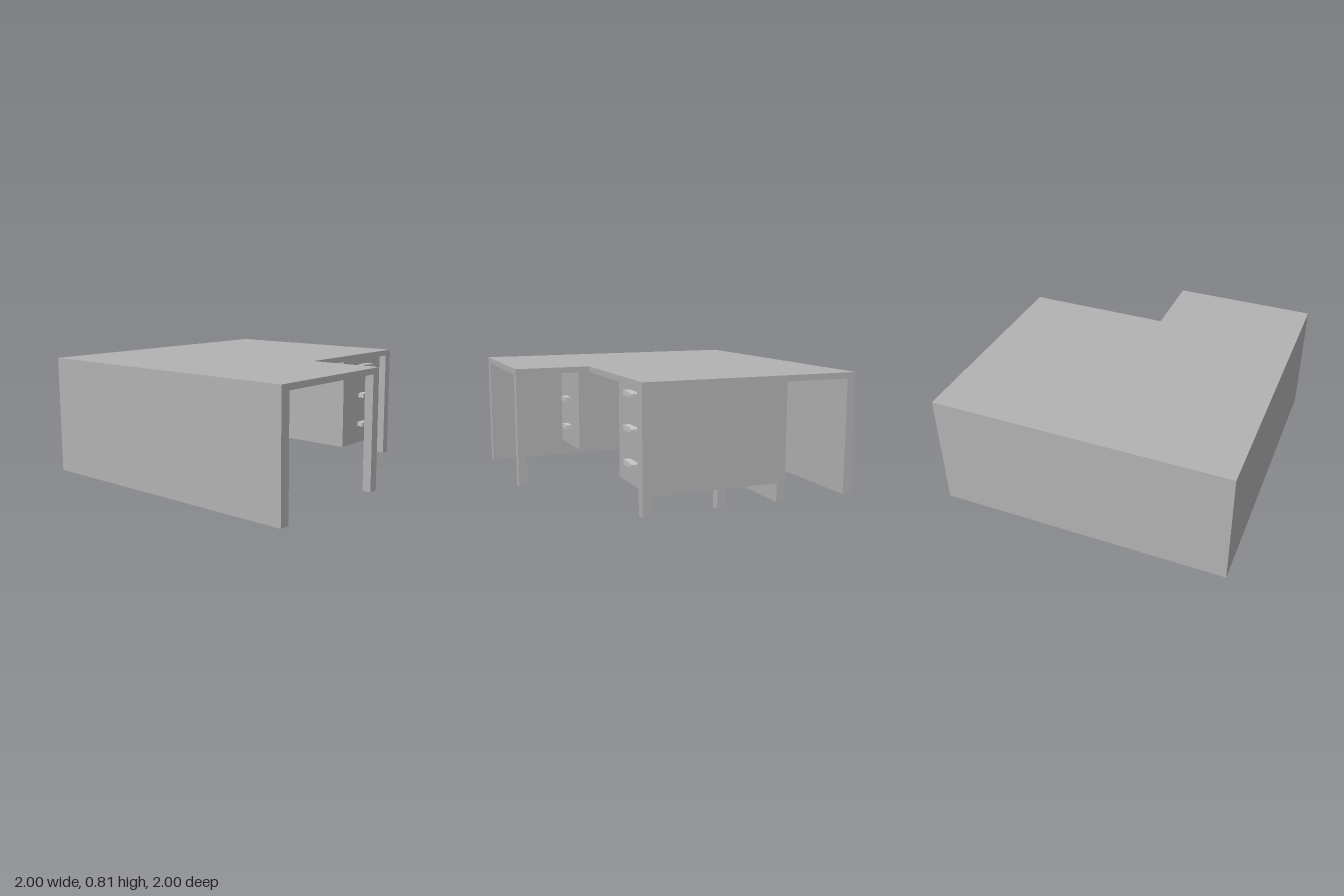
import * as THREE from 'three';

const grey = new THREE.MeshStandardMaterial({ color: 0xb2b2b2 });
grey.name = 'deskGrey';
const paleGrey = new THREE.MeshStandardMaterial({ color: 0xc6c6c6 });
paleGrey.name = 'handlePaleGrey';

const TOP = 0.81, UNDER = 0.77; // table top and its underside
const DRAWER_FRONT = 0.43, DRAWER_BASE = 0.125;

// Box given by its extents on each axis
function block(name, [x0, x1], [y0, y1], [z0, z1]) {
  const mesh = new THREE.Mesh(new THREE.BoxGeometry(x1 - x0, y1 - y0, z1 - z0), grey);
  mesh.position.set((x0 + x1) / 2, (y0 + y1) / 2, (z0 + z1) / 2);
  mesh.name = name;
  return mesh;
}

// Bar handle with its upper outer corner cut; side is +1 or -1
function handle(side, y) {
  const pts = [[-0.065, -0.016], [0.065, -0.016], [0.065, 0.004], [0.053, 0.016], [-0.065, 0.016]];
  const shape = new THREE.Shape(pts.map(([px, py]) => new THREE.Vector2(px * side, py)));
  const geo = new THREE.ExtrudeGeometry(shape, { depth: 0.045, bevelEnabled: false });
  const mesh = new THREE.Mesh(geo, paleGrey);
  mesh.position.set(0.715 * side, y, DRAWER_FRONT);
  mesh.name = 'drawerHandle';
  return mesh;
}

export function createModel() {
  const desk = new THREE.Group();
  desk.name = 'cornerDesk';

  // L-shaped top, drawn in plan with shape y = -z
  const plan = new THREE.Shape([[-1, -1], [-0.005, -1], [-0.005, -0.485], [1, -0.485], [1, 1], [-1, 1]]
    .map(([x, y]) => new THREE.Vector2(x, y)));
  const topGeo = new THREE.ExtrudeGeometry(plan, { depth: TOP - UNDER, bevelEnabled: false });
  topGeo.rotateX(-Math.PI / 2);
  const top = new THREE.Mesh(topGeo, grey);
  top.position.y = UNDER;
  top.name = 'tableTop';
  desk.add(top);

  // Full-height panels
  desk.add(
    block('backPanel', [-1, 1], [0, UNDER], [-1, -0.94]),
    block('sidePanel', [-1, -0.93], [0, UNDER], [-0.94, 1]),
    block('innerPanel', [-0.93, 1], [0, UNDER], [-0.49, -0.43]),
  );

  // Drawer cabinets hanging below the top
  desk.add(
    block('leftCabinet', [0.45, 1], [DRAWER_BASE, UNDER], [-0.43, DRAWER_FRONT]),
    block('rightCabinet', [-0.93, -0.45], [DRAWER_BASE, UNDER], [-0.43, DRAWER_FRONT]),
  );

  // Legs
  desk.add(
    block('wingLeg', [-0.07, -0.005], [0, UNDER], [0.94, 1]),
    block('frontLeg', [0.94, 1], [0, UNDER], [0.43, 0.485]),
    block('middleLeg', [0.94, 1], [0, DRAWER_BASE], [-0.07, -0.01]),
  );

  // Three handles on each cabinet
  for (const side of [-1, 1]) {
    for (const y of [0.27, 0.49, 0.708]) desk.add(handle(side, y));
  }
  return desk;
}
